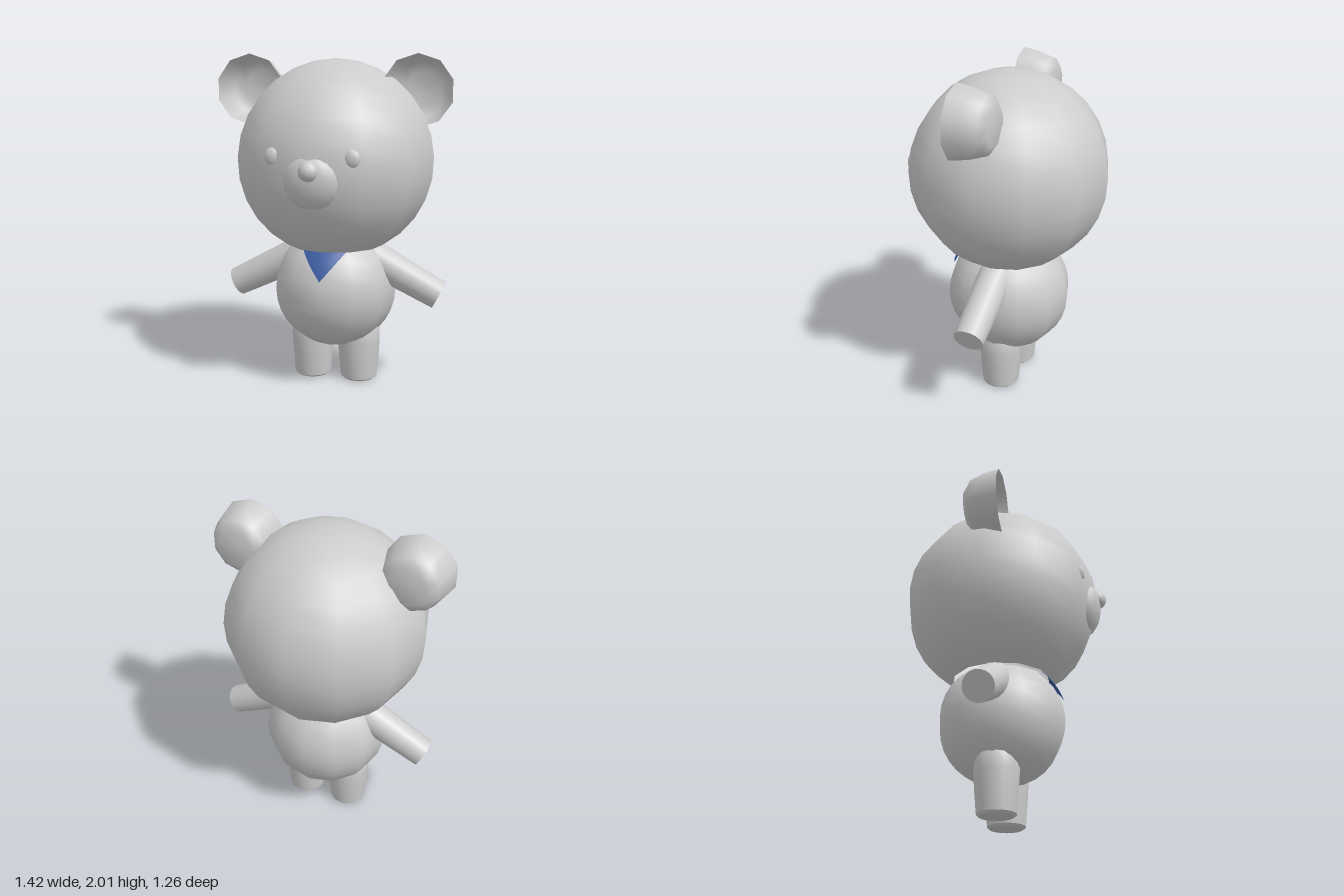
import * as THREE from 'three';
import { toCreasedNormals } from 'three/addons/utils/BufferGeometryUtils.js';

const grey = new THREE.MeshStandardMaterial({ color: 0xcccccc });
const greyOpen = new THREE.MeshStandardMaterial({ color: 0xcccccc, side: THREE.DoubleSide });
const blue = new THREE.MeshStandardMaterial({ color: 0x3d5ea3, side: THREE.DoubleSide });

const lathe = (points, sides) =>
  new THREE.LatheGeometry(points.map(([x, y]) => new THREE.Vector2(x, y)), sides);

export function createModel() {
  const bear = new THREE.Group();
  bear.name = 'bear';

  function add(name, geometry, x, y, z, material = grey) {
    const mesh = new THREE.Mesh(geometry, material);
    mesh.name = name;
    mesh.position.set(x, y, z);
    bear.add(mesh);
    return mesh;
  }

  // Head and body: spheres left open where they meet at the neck
  add('head', new THREE.SphereGeometry(0.6, 12, 12, 0, Math.PI * 2, 0, Math.PI * 5 / 6), 0, 1.38, -0.03, greyOpen);
  add('body', new THREE.SphereGeometry(0.38, 12, 12, 0, Math.PI * 2, Math.PI / 4, Math.PI * 3 / 4), 0, 0.592, -0.03, greyOpen);

  // Face
  const muzzle = add('muzzle', new THREE.SphereGeometry(1, 16, 12), 0, 1.305, 0.5);
  muzzle.scale.set(0.162, 0.16, 0.09);
  muzzle.rotation.x = 0.15;
  add('nose', new THREE.SphereGeometry(0.058, 14, 10), 0.004, 1.375, 0.57);

  for (const side of [1, -1]) {
    const label = side > 0 ? 'left' : 'right';

    const eye = add(label + 'Eye', new THREE.SphereGeometry(1, 10, 8), side * 0.225, 1.44, 0.49);
    eye.scale.set(0.05, 0.055, 0.03);

    // Ear: hollow cup, open to the front
    const cup = lathe([[0, -0.22], [0.11, -0.218], [0.165, -0.18], [0.196, -0.09], [0.212, 0]], 10);
    const ear = add(label + 'Ear', cup, side * 0.51, 1.795, 0.07, greyOpen);
    ear.rotation.x = Math.PI / 2;

    // Arm: tapered cylinder slanting down and outwards from the shoulder
    const arm = add(label + 'Arm', new THREE.CylinderGeometry(0.107, 0.09, 0.48, 18), side * 0.435, 0.675, -0.03);
    arm.rotation.z = side * 1.1;

    // Leg: slightly tapered, with a small bevel under the foot
    const leg = toCreasedNormals(lathe(
      [[0, 0], [0.1, 0], [0.114, 0.012], [0.125, 0.14], [0.132, 0.25], [0.13, 0.34], [0.1, 0.4], [0, 0.42]], 18), 0.7);
    add(label + 'Leg', leg, side * 0.15, 0, -0.03);
  }

  // Scarf: triangle wrapped over the chest
  const scarf = new THREE.PlaneGeometry(1, 1, 8, 6);
  const p = scarf.attributes.position;
  for (let i = 0; i < p.count; i++) {
    const t = p.getY(i) + 0.5;
    const x = p.getX(i) * 0.27 * t;
    const y = 0.108 + 0.165 * t;
    p.setXYZ(i, x, y, Math.sqrt(0.395 ** 2 - x * x - y * y));
  }
  scarf.computeVertexNormals();
  add('scarf', scarf, 0, 0.592, -0.03, blue);

  return bear;
}
